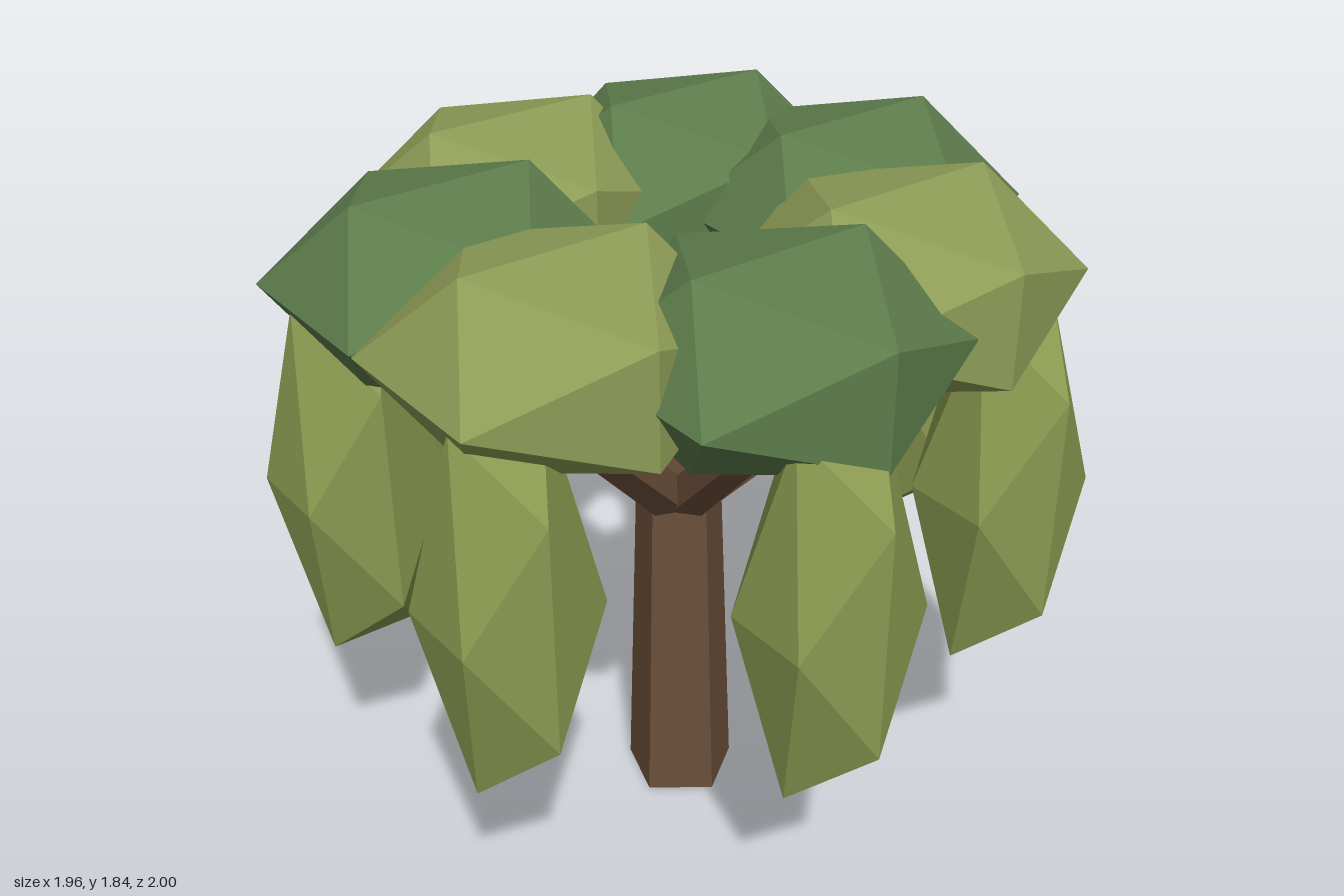
import * as THREE from 'three';

const COUNT = 7;
const TRUNK_X = -0.045;

function material(name, color) {
  const m = new THREE.MeshStandardMaterial({ color, flatShading: true });
  m.name = name;
  return m;
}

export function createModel() {
  const bark = material('bark brown', 0x6b4e39);
  const lightLeaf = material('light olive leaf', 0x8d9c56);
  const darkLeaf = material('dark green leaf', 0x5d7c4b);
  const frondLeaf = material('frond olive', 0x8a9950);

  const tree = new THREE.Group();
  tree.name = 'tree';

  const add = (name, geometry, mat) => {
    const mesh = new THREE.Mesh(geometry, mat);
    mesh.name = name;
    tree.add(mesh);
    return mesh;
  };

  // Point at a distance from the trunk axis
  const around = (angle, radius, y, zScale = 1) =>
    new THREE.Vector3(TRUNK_X + Math.cos(angle) * radius, y, Math.sin(angle) * radius * zScale);

  // Five-sided tapered trunk
  add('trunk', new THREE.CylinderGeometry(0.103, 0.153, 1.4, 5), bark).position.set(TRUNK_X, 0.7, 0);

  const blob = new THREE.IcosahedronGeometry(1, 0);
  const up = new THREE.Vector3(0, 1, 0);

  for (let i = 0; i < COUNT; i++) {
    const angle = (i / COUNT) * Math.PI * 2;

    // Slanted branch reaching into the canopy
    const from = around(angle, 0.06, 0.95);
    const to = around(angle, 0.56, 1.42);
    const dir = to.clone().sub(from);
    const branch = add('branch', new THREE.CylinderGeometry(0.05, 0.066, dir.length(), 5), bark);
    branch.position.copy(from).add(to).multiplyScalar(0.5);
    branch.quaternion.setFromUnitVectors(up, dir.normalize());

    // Flattened canopy clump, alternating greens
    const clump = add('canopyClump', blob, i % 2 ? lightLeaf : darkLeaf);
    clump.position.copy(around(angle, 0.562, 1.61, 0.98));
    clump.scale.set(0.46, 0.276, 0.442);

    // Long hanging frond
    const frond = add('hangingFrond', blob, frondLeaf);
    frond.position.copy(around(angle, 0.832, 1.083));
    frond.scale.set(0.223, 0.58, 0.223);
  }

  return tree;
}
